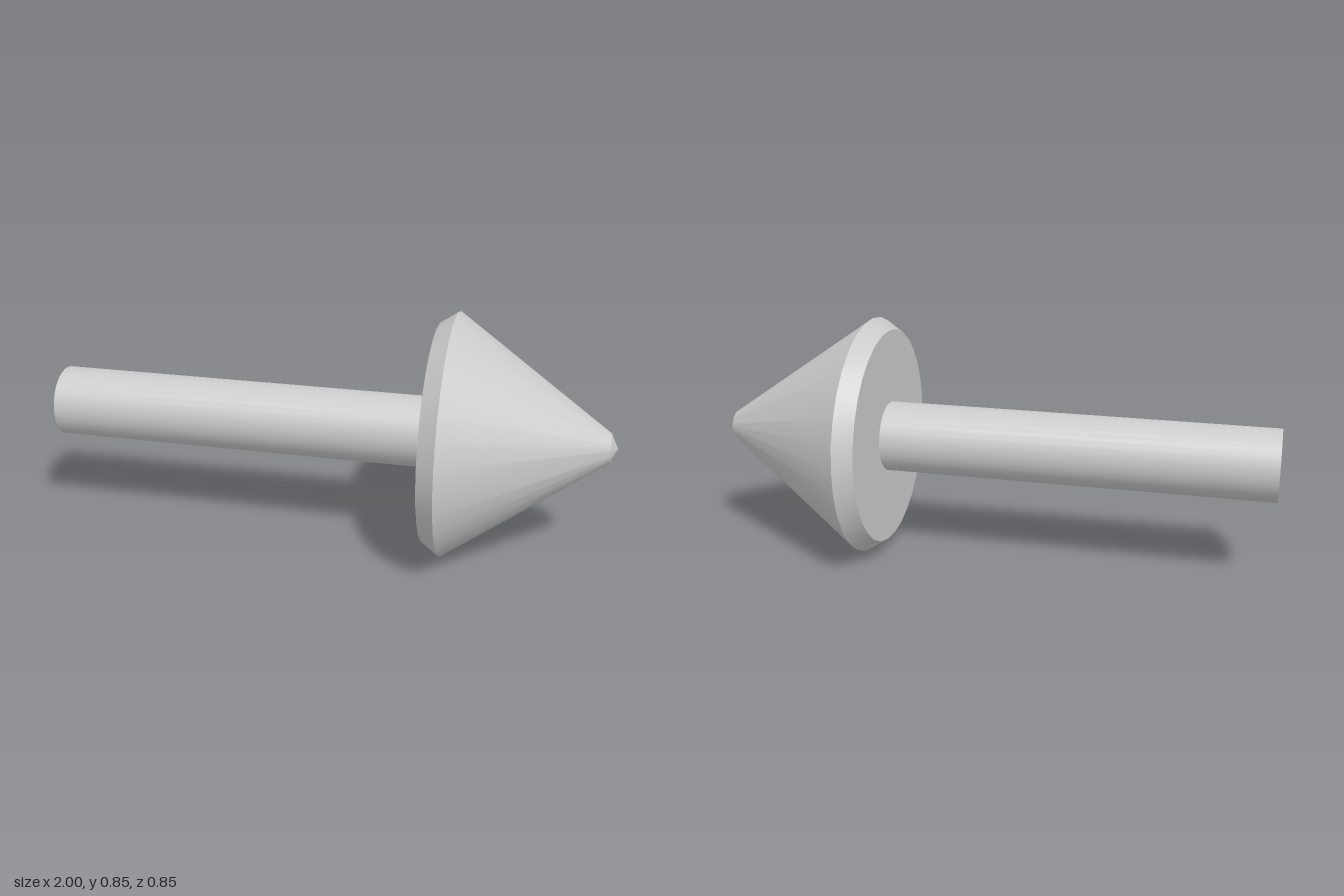
import * as THREE from 'three';
import { toCreasedNormals } from 'three/addons/utils/BufferGeometryUtils.js';

const SIDES = 31;
const AXIS_HEIGHT = 0.426;

// Revolves [radius, x] points around the x axis, keeping profile corners sharp
function turned(name, profile) {
  const points = profile.map(([r, x]) => new THREE.Vector2(r, x));
  const lathe = new THREE.LatheGeometry(points, SIDES, Math.PI);
  lathe.rotateZ(-Math.PI / 2);
  const mesh = new THREE.Mesh(
    toCreasedNormals(lathe, 0.35),
    new THREE.MeshStandardMaterial({ color: 0xcccccc })
  );
  mesh.name = name;
  mesh.position.y = AXIS_HEIGHT;
  return mesh;
}

export function createModel() {
  const model = new THREE.Group();
  model.name = 'arrow';

  // Straight round shaft with a flat end
  model.add(turned('shaft', [[0, -1], [0.125, -1], [0.125, 0.375]]));

  // Conical head with a bevelled back rim and a blunter tip
  model.add(turned('head', [
    [0, 0.375], [0.385, 0.375], [0.426, 0.436], [0.051, 0.975], [0, 1],
  ]));

  return model;
}
